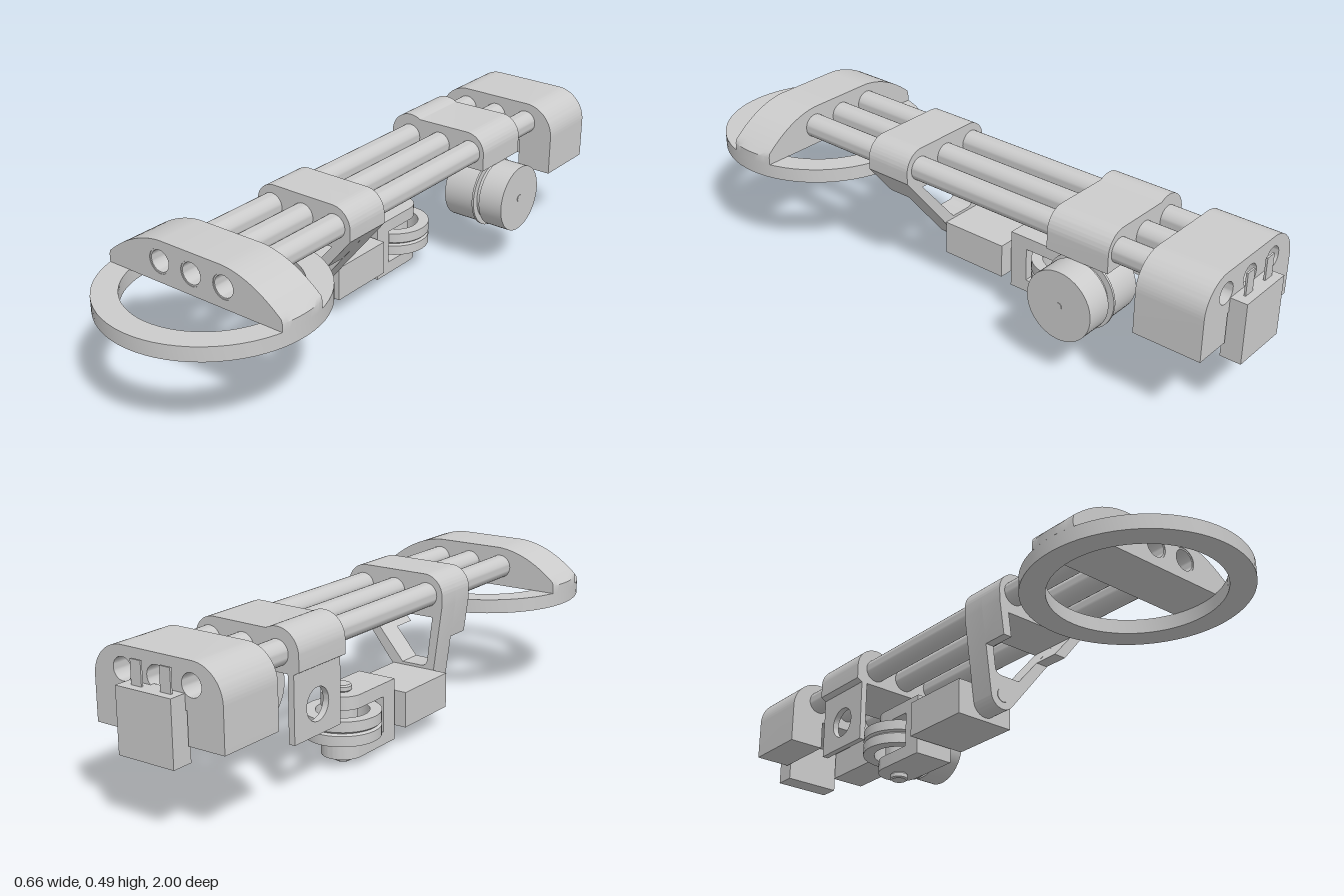
import * as THREE from 'three';
import { toCreasedNormals } from 'three/addons/utils/BufferGeometryUtils.js';

const material = new THREE.MeshStandardMaterial({ color: 0xcccccc, side: THREE.DoubleSide });
const RODS = [-0.118, 0, 0.118];
const ROD_Y = 0.415;
const ROD_R = 0.038;

export function createModel() {
  const model = new THREE.Group();

  const add = (name, geometry, x = 0, y = 0, z = 0, parent = model) => {
    const mesh = new THREE.Mesh(toCreasedNormals(geometry, 0.6), material);
    mesh.name = name;
    mesh.position.set(x, y, z);
    parent.add(mesh);
    return mesh;
  };
  // box given by its limits on each axis
  const box = (name, x0, x1, y0, y1, z0, z1) =>
    add(name, new THREE.BoxGeometry(x1 - x0, y1 - y0, z1 - z0), (x0 + x1) / 2, (y0 + y1) / 2, (z0 + z1) / 2);
  // front profile extruded from z0 to z1
  const slab = (shape, z0, z1, steps = 1) =>
    new THREE.ExtrudeGeometry(shape, { depth: z1 - z0, bevelEnabled: false, curveSegments: 16, steps }).translate(0, 0, z0);
  const circle = (x, y, r) => new THREE.Path().absarc(x, y, r, 0, Math.PI * 2, true);
  const drill = (shape) => {
    RODS.forEach((x) => shape.holes.push(circle(x, ROD_Y, ROD_R)));
    return shape;
  };
  const polygon = (points) => points.map(([x, y]) => new THREE.Vector2(x, y));
  const lathe = (points, segments = 40) => new THREE.LatheGeometry(polygon(points), segments);
  const disc = (r, y0, y1) => new THREE.CylinderGeometry(r, r, y1 - y0, 40).translate(0, (y0 + y1) / 2, 0);

  // three hollow rods
  RODS.forEach((x) => {
    const ring = new THREE.Shape().absarc(0, 0, ROD_R, 0, Math.PI * 2);
    ring.holes.push(circle(0, 0, 0.033));
    add('rod', slab(ring, -0.948, 0.748), x, ROD_Y, 0);
  });

  // front hoop
  add('hoop', lathe([[0.255, 0.305], [0.33, 0.305], [0.33, 0.35], [0.255, 0.35], [0.255, 0.305]], 64), 0, 0, 0.67);

  // arched clamp over the hoop, its ends trimmed to the hoop's outline
  const arch = new THREE.Shape();
  arch.moveTo(-0.33, 0.349);
  arch.lineTo(0.33, 0.349);
  arch.lineTo(0.33, 0.375);
  arch.quadraticCurveTo(0.225, 0.472, 0.115, 0.479);
  arch.lineTo(-0.115, 0.479);
  arch.quadraticCurveTo(-0.225, 0.472, -0.33, 0.375);
  const archGeometry = slab(drill(arch), 0.59, 0.75, 8);
  const p = archGeometry.attributes.position;
  for (let i = 0; i < p.count; i++) {
    const limit = Math.sqrt(0.33 ** 2 - (p.getZ(i) - 0.67) ** 2);
    p.setX(i, THREE.MathUtils.clamp(p.getX(i), -limit, limit));
  }
  add('archClamp', archGeometry);

  // front bracket: rounded clamp on the rods, with a V-shaped arm below
  const clampTop = (shape) => {
    shape.lineTo(0.175, 0.38);
    shape.lineTo(0.175, 0.415);
    shape.absarc(0.11, 0.415, 0.065, 0, Math.PI / 2);
    shape.absarc(-0.11, 0.415, 0.065, Math.PI / 2, Math.PI);
    shape.lineTo(-0.175, 0.38);
    shape.closePath();
    return drill(shape);
  };
  const upper = new THREE.Shape();
  upper.moveTo(-0.16, 0.268);
  upper.lineTo(-0.131, 0.268);
  upper.lineTo(-0.141, 0.345);
  upper.lineTo(0.108, 0.345);
  upper.lineTo(0.042, 0.268);
  upper.lineTo(0.083, 0.268);
  add('bracketClamp', slab(clampTop(upper), 0.21, 0.29));

  const arm = new THREE.Shape();
  arm.moveTo(-0.14, 0.115);
  arm.absarc(-0.095, 0.12, 0.045, Math.PI * 1.04, Math.PI * 1.78);
  const armShape = clampTop(arm);
  const armWindow = new THREE.Path();
  armWindow.moveTo(-0.141, 0.345);
  armWindow.lineTo(-0.124, 0.205);
  armWindow.quadraticCurveTo(-0.121, 0.183, -0.1, 0.183);
  armWindow.lineTo(-0.032, 0.183);
  armWindow.lineTo(0.108, 0.345);
  armWindow.closePath();
  armShape.holes.push(armWindow);
  add('bracketArm', slab(armShape, 0.13, 0.21));
  add('pivotPin', disc(0.022, 0.12, 0.212).rotateX(Math.PI / 2), -0.095, 0.12, 0);

  // block and fork that hold the wheel
  box('wheelBlock', -0.195, 0.002, 0.063, 0.174, -0.1, 0.13);
  box('forkBack', -0.162, -0.032, 0.022, 0.215, -0.17, -0.11);
  const fork = new THREE.Shape();
  fork.moveTo(0.065, 0);
  fork.absarc(0, 0, 0.065, 0, Math.PI);
  fork.lineTo(-0.065, -0.115);
  fork.lineTo(0.065, -0.115);
  fork.closePath();
  [0.022, 0.174].forEach((y) => {
    const plate = slab(fork, 0, 0.041).rotateX(-Math.PI / 2);
    add('forkArm', plate, -0.097, y, -0.285);
  });

  // grooved wheel, hub and axle
  const wheel = new THREE.Group();
  wheel.name = 'wheel';
  wheel.position.set(-0.097, 0, -0.285);
  model.add(wheel);
  add('wheelRim', lathe([
    [0.08, 0.081], [0.115, 0.081], [0.115, 0.113], [0.108, 0.119],
    [0.115, 0.125], [0.115, 0.157], [0.08, 0.157], [0.08, 0.081],
  ], 48), 0, 0, 0, wheel);
  add('wheelHub', disc(0.045, 0.063, 0.174), 0, 0, 0, wheel);
  add('axle', disc(0.02, 0.002, 0.233), 0, 0, 0, wheel);
  [0, 0.215].forEach((y) => add('axleCap', lathe([
    [0, y], [0.023, y], [0.027, y + 0.004], [0.027, y + 0.016], [0.023, y + 0.021], [0, y + 0.021],
  ]), 0, 0, 0, wheel));

  // middle clamp with a raised lobe and a drilled side plate
  const middle = new THREE.Shape();
  middle.moveTo(-0.173, 0.36);
  middle.lineTo(0.17, 0.36);
  middle.lineTo(0.17, 0.415);
  middle.absarc(0.105, 0.415, 0.065, 0, Math.PI / 2);
  middle.lineTo(-0.08, 0.478);
  middle.absarc(-0.118, 0.415, 0.073, Math.PI / 3, Math.PI);
  middle.lineTo(-0.191, 0.37);
  add('middleClamp', slab(drill(middle), -0.61, -0.4));
  const sidePlate = new THREE.Shape(polygon([[0.4, 0.16], [0.61, 0.16], [0.61, 0.37], [0.4, 0.37]]));
  sidePlate.holes.push(circle(0.505, 0.25, 0.05));
  add('sidePlate', slab(sidePlate, -0.173, -0.153).rotateY(Math.PI / 2));

  // drum with a recessed band, lying across the rods
  const drum = lathe([
    [0, 0.03], [0.11, 0.03], [0.11, 0.14], [0.117, 0.14], [0.117, 0.147], [0.097, 0.147],
    [0.097, 0.163], [0.11, 0.163], [0.11, 0.248], [0.012, 0.248], [0.012, 0.25], [0, 0.25],
  ], 48).rotateZ(-Math.PI / 2);
  add('drum', drum, 0, 0.25, -0.505);

  // rear clamp with two legs
  const rear = new THREE.Shape();
  rear.moveTo(-0.22, 0.25);
  rear.lineTo(-0.1, 0.25);
  rear.lineTo(-0.1, 0.345);
  rear.lineTo(0.1, 0.345);
  rear.lineTo(0.1, 0.25);
  rear.lineTo(0.22, 0.25);
  rear.lineTo(0.22, 0.38);
  rear.absarc(0.12, 0.38, 0.1, 0, Math.PI / 2);
  rear.absarc(-0.12, 0.38, 0.1, Math.PI / 2, Math.PI);
  add('rearClamp', slab(drill(rear), -0.948, -0.735));

  // rear box with two thin tabs
  box('rearBox', -0.095, 0.095, 0.2, 0.39, -1, -0.935);
  [-0.055, 0.045].forEach((x) => box('tab', x - 0.018, x + 0.018, 0.385, 0.46, -0.975, -0.969));

  return model;
}
